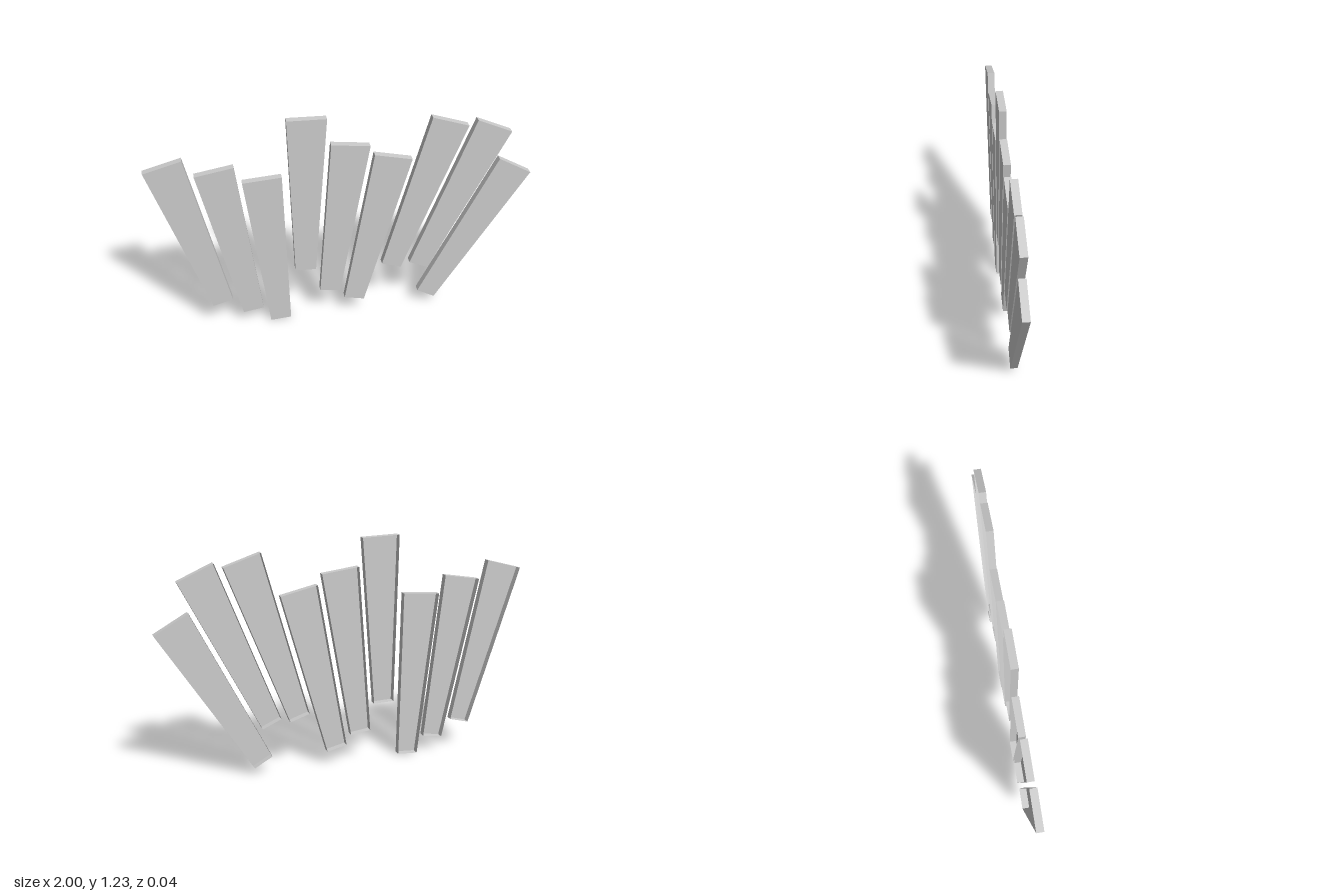
import * as THREE from 'three';

const LENGTH = 0.906, DEPTH = 0.038, TOP_WIDTH = 0.202, BOTTOM_WIDTH = 0.111;

// Foot of each slat (x, y), from the model's right to its left
const FEET = [
  [-0.666, 0.159], [-0.504, 0.086], [-0.356, 0.004],
  [-0.211, 0.321], [-0.079, 0.164], [0.056, 0.09],
  [0.261, 0.29], [0.413, 0.275], [0.464, 0.067],
];

// Tapered shallow tray, open at the back, with its foot at the origin
function slatGeometry() {
  const geo = new THREE.BoxGeometry(1, LENGTH, DEPTH);
  geo.translate(0, LENGTH / 2, 0);
  const pos = geo.attributes.position;
  for (let i = 0; i < pos.count; i++) {
    const width = THREE.MathUtils.lerp(BOTTOM_WIDTH, TOP_WIDTH, pos.getY(i) / LENGTH);
    pos.setX(i, pos.getX(i) * width);
  }
  // The last six indices are the back face
  geo.setIndex(Array.from(geo.index.array).slice(0, 30));
  geo.clearGroups();
  geo.computeVertexNormals();
  return geo;
}

export function createModel() {
  const model = new THREE.Group();
  model.name = 'fannedSlats';
  const grey = new THREE.MeshStandardMaterial({ color: 0xcccccc, side: THREE.DoubleSide });
  grey.name = 'light grey';

  // Slats fan out in equal angular steps
  const geo = slatGeometry();
  FEET.forEach(([x, y], i) => {
    const slat = new THREE.Mesh(geo, grey);
    slat.name = `slat${i + 1}`;
    slat.position.set(x, y, 0);
    slat.rotation.z = THREE.MathUtils.degToRad(15.3 - 5.6 * i);
    model.add(slat);
  });
  return model;
}
